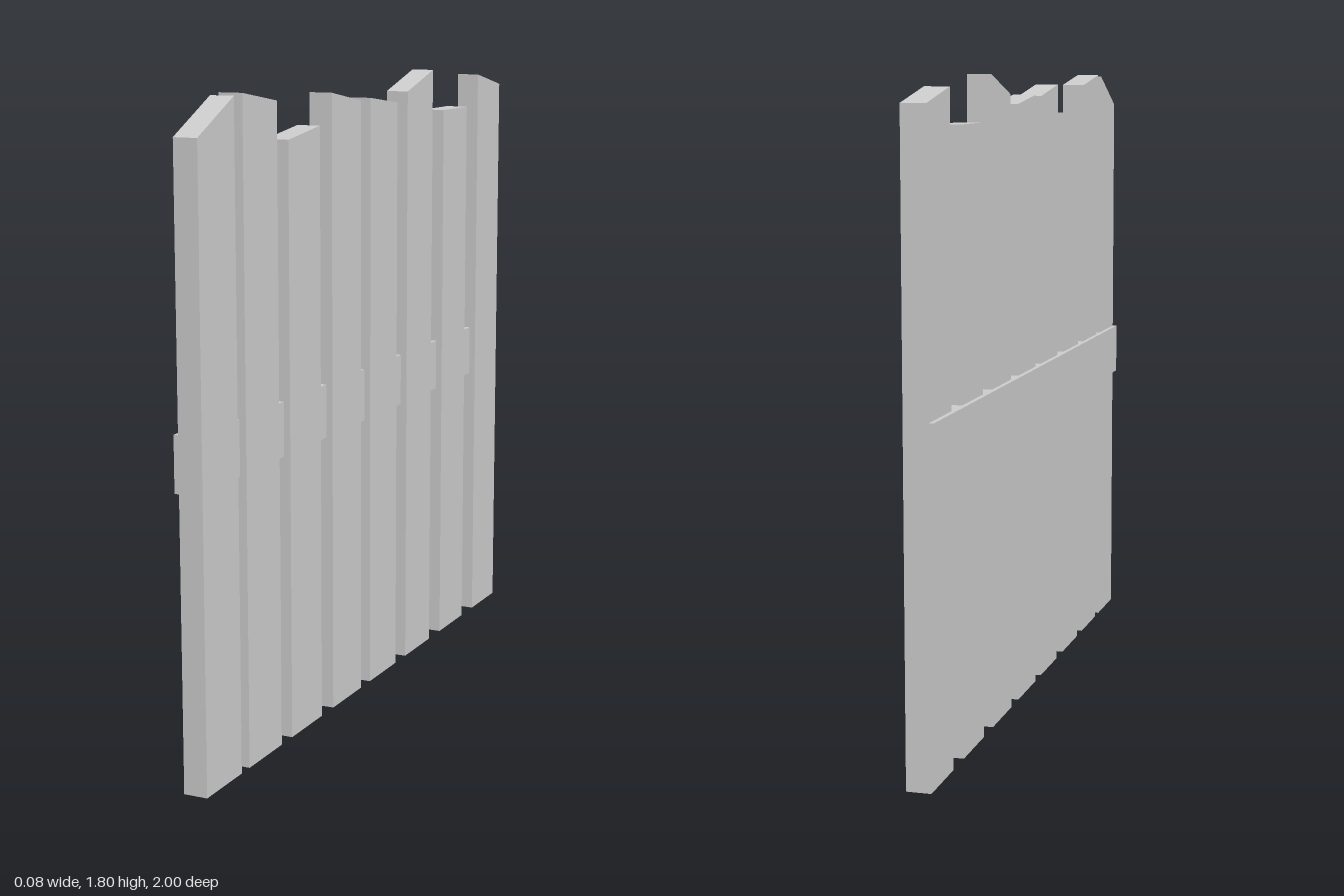
import * as THREE from 'three';

const material = new THREE.MeshStandardMaterial({ color: 0xcccccc, flatShading: true });

const PLANK_WIDTH = 0.188;
const PLANK_THICKNESS = 0.068;

// Each plank: [centre z, top height at its +z edge, top height at its -z edge]
const PLANKS = [
  [0.906, 1.698, 1.79],
  [0.674, 1.795, 1.766],
  [0.423, 1.66, 1.685],
  [0.161, 1.77, 1.739],
  [-0.091, 1.743, 1.72],
  [-0.353, 1.748, 1.804],
  [-0.627, 1.678, 1.678],
  [-0.906, 1.775, 1.737],
];

// Upright board whose top is cut at a slant along z
function createPlank(topFront, topBack) {
  const geometry = new THREE.BoxGeometry(PLANK_THICKNESS, 1, PLANK_WIDTH).translate(0, 0.5, 0);
  const position = geometry.attributes.position;
  for (let i = 0; i < position.count; i++) {
    if (position.getY(i) > 0.5) position.setY(i, position.getZ(i) > 0 ? topFront : topBack);
  }
  geometry.computeVertexNormals();
  return new THREE.Mesh(geometry, material);
}

export function createModel() {
  const fence = new THREE.Group();
  fence.name = 'fence';

  // Row of planks
  PLANKS.forEach(([z, topFront, topBack], i) => {
    const plank = createPlank(topFront, topBack);
    plank.name = `plank${i + 1}`;
    plank.position.set(0.005, 0, z);
    fence.add(plank);
  });

  // Cross rail let into the planks, standing slightly proud on the -x side
  const rail = new THREE.Mesh(new THREE.BoxGeometry(0.062, 0.153, 2), material);
  rail.name = 'crossRail';
  rail.position.set(-0.011, 0.878, 0);
  fence.add(rail);

  return fence;
}
